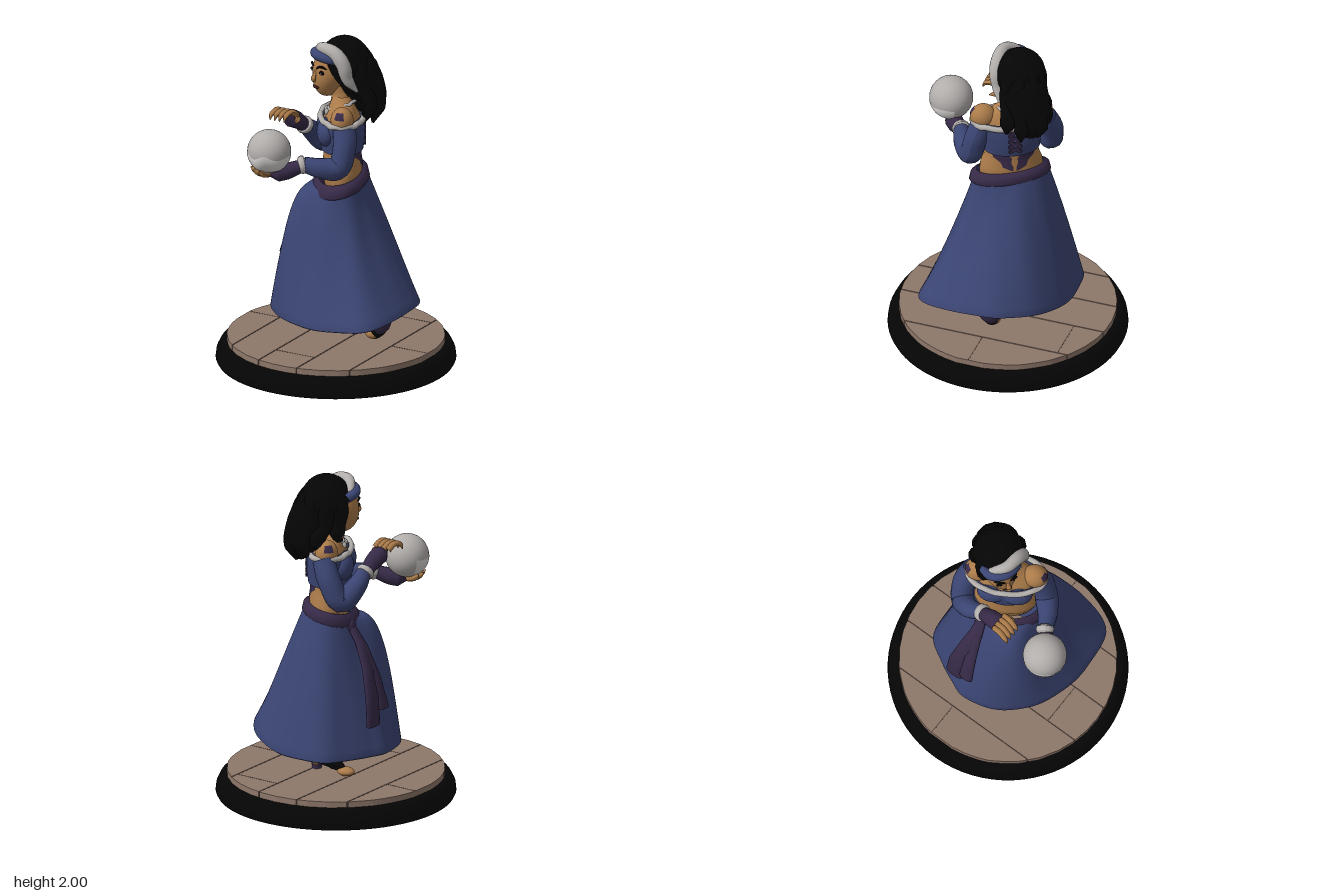
import * as THREE from 'three';

const V = (x, y, z) => new THREE.Vector3(x, y, z);
const mat = (name, color, side = THREE.FrontSide) => {
  const m = new THREE.MeshStandardMaterial({ color, side });
  m.name = name;
  return m;
};

export function createModel() {
  const blue = mat('blue cloth', 0x3b4573, THREE.DoubleSide);
  const purple = mat('purple cloth', 0x372a48, THREE.DoubleSide);
  const skin = mat('skin', 0xac7c4a);
  const silver = mat('silver trim', 0xb2aeac);
  const mist = mat('pale mist', 0xdcdad8);
  const black = mat('black', 0x050505);
  const wood = mat('wood', 0x8e776a);
  const darkWood = mat('dark wood', 0x5c4b42);
  const lipRed = mat('lips', 0x3c1c1a);

  const root = new THREE.Group();
  root.name = 'fortuneTeller';
  const add = (name, geo, m, parent = root) => {
    const mesh = new THREE.Mesh(geo, m);
    mesh.name = name;
    parent.add(mesh);
    return mesh;
  };
  const group = (name, x, y, z, ry) => {
    const g = new THREE.Group();
    g.name = name;
    g.position.set(x, y, z);
    g.rotation.y = ry;
    root.add(g);
    return g;
  };

  // Surface through rings of points, listed from bottom to top
  const loft = (rings, closed = true) => {
    const n = rings[0].length, idx = [];
    for (let j = 0; j < rings.length - 1; j++)
      for (let i = 0; i < (closed ? n : n - 1); i++) {
        const k = (i + 1) % n, a = j * n + i, b = j * n + k;
        idx.push(a, a + n, b, b, a + n, b + n);
      }
    const g = new THREE.BufferGeometry().setFromPoints(rings.flat());
    g.setIndex(idx);
    g.computeVertexNormals();
    return g;
  };
  // Round limb along a path, with radii spread evenly over its length
  const limb = (pts, radii, sides = 14) => {
    const curve = new THREE.CatmullRomCurve3(pts.map(p => V(...p)));
    const seg = 28, g = new THREE.TubeGeometry(curve, seg, 1, sides);
    const pos = g.attributes.position, v = V();
    for (let j = 0; j <= seg; j++) {
      const c = curve.getPointAt(j / seg), f = j / seg * (radii.length - 1);
      const k = Math.min(Math.floor(f), radii.length - 2);
      const r = THREE.MathUtils.lerp(radii[k], radii[k + 1], f - k);
      for (let i = 0; i <= sides; i++) {
        const q = j * (sides + 1) + i;
        v.fromBufferAttribute(pos, q).sub(c).multiplyScalar(r).add(c);
        pos.setXYZ(q, v.x, v.y, v.z);
      }
    }
    g.computeVertexNormals();
    return g;
  };
  const ball = (name, m, p, s, parent = root) => {
    const b = add(name, new THREE.SphereGeometry(1, 28, 20), m, parent);
    b.position.set(...p);
    b.scale.set(...s);
    return b;
  };

  // Base rim with a shallow recess below
  add('baseRim', new THREE.LatheGeometry([[0, .015], [.63, .015], [.65, 0], [.7, 0], [.71, .02], [.705, .06],
    [.685, .1], [.66, .122], [0, .125]].map(p => new THREE.Vector2(...p)), 72), black);
  // Plank floor: strips cut to a circle over a dark disc
  add('floorGaps', new THREE.CylinderGeometry(.635, .635, .03, 64), darkWood).position.y = .137;
  const edges = [-.64, -.43, -.165, .1, .39, .64];
  for (let k = 0; k < 5; k++) {
    const x0 = edges[k] + .003, x1 = edges[k + 1] - .003, pts = [];
    for (const s of [1, -1])
      for (let i = 0; i <= 16; i++) {
        const x = s > 0 ? x1 + (x0 - x1) * i / 16 : x0 + (x1 - x0) * i / 16;
        const R = .644 - .003 * Math.abs(Math.sin(x * 31 + s));
        pts.push(new THREE.Vector2(x, s * Math.sqrt(Math.max(.0004, R * R - x * x))));
      }
    const g = new THREE.ExtrudeGeometry(new THREE.Shape(pts), { depth: .036, bevelEnabled: false });
    add('plank', g.rotateX(-Math.PI / 2), wood).position.y = .122;
  }
  for (const [x, z, w] of [[-.535, -.08, .2], [.515, .02, .24], [-.03, .42, .25], [.24, -.45, .28]])
    add('plankJoint', new THREE.BoxGeometry(w, .003, .006), darkWood).position.set(x, .1575, z);

  // Skirt: from a tilted waist ellipse out to a swept hem, closed underneath
  const C = [.02, -.02];
  const waist = (a, grow = 0) => {
    const r = 1 / Math.hypot(Math.cos(a - 1.047) / .22, Math.sin(a - 1.047) / .148) + grow;
    const x = C[0] + r * Math.cos(a), z = C[1] + r * Math.sin(a);
    return V(x, 1.145 + .17 * x - .18 * z, z);
  };
  const hem = new THREE.CatmullRomCurve3([[.52, 0], [.52, .17], [.43, .4], [.2, .44], [-.02, .415], [-.2, .33], [-.33, .2],
    [-.4, -.03], [-.36, -.14], [-.3, -.27], [-.2, -.4], [0, -.43], [.2, -.4], [.4, -.27], [.5, -.12]]
    .map(p => V(p[0], 0, p[1])), true).getPoints(119).slice(0, 119);
  const skirtRing = (t, inset = 0) => hem.map(h => {
    const a = Math.atan2(h.z - C[1], h.x - C[0]), w = waist(a);
    const right = Math.max(0, Math.cos(a));
    // Bells out over the model's front, sweeps in below the trailing hip
    const power = .9 + .6 * Math.max(0, Math.cos(a - .6)) ** 2 - .55 * Math.max(0, Math.cos(a - 2.36)) ** 4;
    const f = Math.pow(t, power) + .014 * Math.sin(a * 9 + t * 2) * t * (1.3 - t) * 2;
    const y = w.y + (.335 + .07 * right * right - w.y) * t;
    return V(w.x + (h.x - w.x) * f * (1 - inset), y, w.z + (h.z - w.z) * f * (1 - inset));
  });
  const skirtRings = [skirtRing(.93, 1), skirtRing(.95, .14), skirtRing(1.01, .05)];
  for (let j = 24; j >= 0; j--) skirtRings.push(skirtRing((j / 24) ** 1.4));
  add('skirt', loft(skirtRings), blue);

  // Waist sash, knot and hanging tails
  const sashRing = (dy, grow) => Array.from({ length: 48 }, (_, i) => {
    const p = waist(i / 48 * Math.PI * 2, grow);
    p.y += dy;
    return p;
  });
  add('waistSash', loft([sashRing(-.055, .012), sashRing(-.04, .024), sashRing(.005, .014), sashRing(.022, -.02)]), purple);
  ball('sashKnot', purple, [-.15, 1.08, -.07], [.035, .05, .045]);
  const tail = sections => loft(sections.map(([x, y, z, rx, rz]) => Array.from({ length: 16 }, (_, i) => {
    const a = i / 16 * Math.PI * 2;
    return V(x + rx * Math.cos(a), y, z + rz * Math.sin(a));
  })));
  add('sashTail', tail([[-.36, .51, -.12, .002, .03], [-.36, .52, -.12, .022, .06], [-.345, .68, -.11, .022, .06],
    [-.295, .86, -.09, .022, .045], [-.225, 1, -.07, .025, .035], [-.16, 1.09, -.07, .02, .03]]), purple);
  add('sashTailShort', tail([[-.37, .6, -.03, .002, .025], [-.37, .61, -.03, .02, .045], [-.315, .8, -.04, .022, .04],
    [-.235, .98, -.05, .022, .03], [-.16, 1.09, -.07, .02, .03]]), purple);

  // Legs in dark stockings and heeled shoes
  add('rightLeg', limb([[.03, .5, -.1], [.03, .42, -.1], [.04, .28, -.1]], [.06, .055, .04]), black);
  add('rightShoe', limb([[.06, .36, -.1], [.05, .27, -.1], [-.05, .23, -.1], [-.14, .19, -.1]], [.045, .055, .05, .04, .015]), black);
  ball('rightToes', skin, [-.145, .187, -.1], [.055, .026, .045]);
  ball('rightAnkle', skin, [.06, .28, -.12], [.04, .09, .04]);
  add('rightHeel', new THREE.CylinderGeometry(.045, .028, .14, 12), purple).position.set(.085, .226, -.075);
  add('leftLeg', limb([[.24, .52, 0], [.27, .45, 0], [.32, .34, 0]], [.06, .055, .045]), black);
  add('leftShoe', limb([[.31, .42, 0], [.31, .31, 0], [.29, .24, 0], [.25, .2, 0]], [.04, .05, .05, .035]), black);
  const sole = add('leftSole', limb([[0, .2, 0], [0, .1, 0], [-.02, .03, 0], [-.05, -.01, 0]], [.045, .055, .05, .012]), purple);
  sole.position.set(.318, .21, 0);
  sole.scale.z = 1.3;
  ball('leftToes', skin, [.255, .21, 0], [.048, .034, .045]);

  // Torso, turned to the model's right
  const torso = group('torso', .025, 0, -.03, -Math.PI / 3);
  const body = new THREE.CatmullRomCurve3([[.16, 1.05, .09], [.192, 1.18, .12], [.158, 1.3, .11], [.165, 1.4, .12],
    [.185, 1.5, .115], [.175, 1.56, .085], [.085, 1.615, .065], [.05, 1.65, .05]].map(p => V(...p)));
  const bodyAt = (k, a, off = 0) => {
    const p = body.getPoint(k / 7);
    return V((p.x + off) * Math.cos(a), p.y, (p.z + off) * Math.sin(a));
  };
  const bodyPatch = (rows, off, n) => loft(rows.map(([k, a0, a1]) =>
    Array.from({ length: n + 1 }, (_, i) => bodyAt(k, a0 + (a1 - a0) * i / n, off))), false);
  const rows = (k0, k1) => Array.from({ length: 17 }, (_, i) => [k0 + (k1 - k0) * i / 16, 0, Math.PI * 2]);
  add('body', bodyPatch(rows(0, 7), 0, 40), skin, torso);
  add('bodice', bodyPatch(rows(2.25, 4.6), .014, 40), blue, torso);
  for (const s of [1, -1]) {
    ball('bust', blue, [s * .07, 1.445, .085], [.095, .09, .066], torso);
    ball('shoulder', skin, [s * .17, 1.552, 0], [.078, .078, .068], torso);
    const mark = add('shoulderTattoo', new THREE.SphereGeometry(1.03, 8, 6, s > 0 ? 2.4 : -.1, .9, .7, .6), purple, torso);
    mark.position.set(s * .17, 1.552, 0);
    mark.scale.set(.078, .078, .068);
    const b = -Math.PI / 2;
    add('backTattoo', bodyPatch([[1.3, b + s * .05, b + s * .1], [1.5, b + s * .05, b + s * .4],
      [1.75, b + s * .12, b + s * .5], [2, b + s * .1, b + s * .85], [2.3, b + s * .25, b + s * .95]], .004, 6), purple, torso);
    for (let i = 0; i < 4; i++) {
      const lace = add('bodiceLace', new THREE.BoxGeometry(.085, .018, .012), purple, torso);
      lace.position.set(0, 1.38 + i * .04, -.134);
      lace.rotation.z = s * .5;
    }
  }
  // Fur trim and necklace
  const loop = (rx, rz, y, tilt) => new THREE.CatmullRomCurve3(Array.from({ length: 24 }, (_, i) => {
    const a = i / 24 * Math.PI * 2;
    return V(rx * Math.cos(a), y - tilt * Math.sin(a) + .005 * Math.sin(i * 2.5), rz * Math.sin(a));
  }), true);
  add('neckTrim', new THREE.TubeGeometry(loop(.232, .128, 1.525, 0), 72, .018, 8, true), silver, torso);
  add('necklace', new THREE.TubeGeometry(loop(.08, .08, 1.6, .03), 48, .011, 8, true), silver, torso);
  for (let i = -1; i <= 1; i++) ball('pendant', silver, [i * .03, 1.555 - (i ? 0 : .012), .09], [.015, .02, .015], torso);

  // Arms, cuffs and fingerless gloves
  const arm = (side, sleeve, cuff, glove) => {
    add(side + 'Sleeve', limb(sleeve, [.066, .07, .068, .07, .06, .045]), blue);
    add(side + 'Cuff', limb(cuff, [.02, .052, .055, .05, .02]), silver);
    add(side + 'Glove', limb(glove, [.038, .044, .052, .054, .012]), purple);
  };
  arm('left', [[.125, 1.52, .115], [.145, 1.4, .15], [.125, 1.28, .19], [.045, 1.285, .26], [-.04, 1.31, .31]],
    [[-.025, 1.31, .295], [-.075, 1.3, .33]], [[-.04, 1.305, .315], [-.11, 1.275, .36], [-.21, 1.255, .43]]);
  arm('right', [[-.06, 1.52, -.21], [-.12, 1.4, -.23], [-.18, 1.28, -.2], [-.23, 1.36, -.11], [-.225, 1.42, -.03]],
    [[-.225, 1.405, -.045], [-.225, 1.44, .01]], [[-.225, 1.41, -.03], [-.235, 1.475, .06], [-.25, 1.525, .16]]);
  // Fingers: the left hand cups the globe, the right hovers above it
  const globe = [-.205, 1.4, .43];
  const cup = (az, al) => [globe[0] + .142 * Math.sin(al) * Math.cos(az), globe[1] - .142 * Math.cos(al),
    globe[2] + .142 * Math.sin(al) * Math.sin(az)];
  for (let i = 0; i < 5; i++) {
    const az = 1.6 + i * .45;
    add('leftFinger', limb([cup(az, .1), cup(az, .5), cup(az, .8), cup(az, .88)], [.02, .019, .018, .016, .002], 8), skin);
  }
  for (let i = 0; i < 4; i++) {
    const x = -.3 + i * .032;
    add('rightFinger', limb([[x + .01, 1.53, .12], [x - .002, 1.562, .17], [x - .012, 1.545, .22], [x - .014, 1.515, .235]],
      [.018, .018, .017, .015, .003], 8), skin);
  }
  add('rightThumb', limb([[-.21, 1.5, .09], [-.18, 1.51, .14], [-.17, 1.5, .18]], [.018, .018, .016, .003], 8), skin);

  // Crystal globe with pale mist in the lower front
  ball('globe', silver, globe, [.13, .13, .13]);
  const mistGeo = new THREE.SphereGeometry(.1315, 32, 12, -.5, Math.PI + 1, 1.62, .85);
  const mp = mistGeo.attributes.position, v = V();
  for (let i = 0; i < mp.count; i++) {
    v.fromBufferAttribute(mp, i);
    v.y += .014 * Math.sin(v.x * 45);
    v.setLength(.1315);
    mp.setXYZ(i, v.x, v.y, v.z);
  }
  add('globeMist', mistGeo, mist).position.set(...globe);

  // Neck and head, with the face narrowing to the chin
  add('neck', limb([[.025, 1.58, -.035], [.005, 1.66, -.04], [-.015, 1.75, -.04]], [.06, .052, .055]), skin);
  const head = group('head', -.045, 1.79, -.03, -.47);
  const face = new THREE.SphereGeometry(1, 32, 24), fp = face.attributes.position;
  for (let i = 0; i < fp.count; i++) {
    const y = fp.getY(i), n = 1 - .28 * Math.max(0, -y);
    fp.setXYZ(i, fp.getX(i) * .104 * n, y * .15, fp.getZ(i) * .12 + .025 * Math.max(0, -y));
  }
  face.computeVertexNormals();
  add('face', face, skin, head);
  add('nose', limb([[0, .03, .112], [0, -.01, .124], [0, -.03, .13], [0, -.045, .115]], [.008, .011, .017, .007], 8), skin, head);
  ball('lips', lipRed, [0, -.078, .112], [.028, .012, .012], head);
  for (const s of [1, -1]) {
    ball('eyeLiner', black, [s * .043, .018, .103], [.026, .013, .01], head);
    ball('eye', silver, [s * .043, .016, .107], [.016, .006, .008], head);
    ball('pupil', black, [s * .042, .016, .112], [.006, .007, .004], head);
    add('eyebrow', limb([[s * .018, .042, .118], [s * .045, .058, .11], [s * .075, .045, .085]], [.005, .008, .003], 6), black, head);
  }
  add('headband', limb([[-.105, .085, -.01], [-.082, .105, .06], [0, .115, .094], [.082, .105, .06], [.105, .085, -.01]],
    [.026, .031, .033, .031, .026]), blue, head);

  // Hair: silver front streak and black waves falling behind
  add('silverStreak', limb([[-.135, 1.87, -.06], [-.115, 1.925, -.01], [-.06, 1.95, .04], [.02, 1.935, .05],
    [.075, 1.87, .045], [.095, 1.78, .03], [.145, 1.7, 0]], [.01, .024, .034, .04, .044, .042, .032, .008]), silver);
  ball('hairCrown', black, [.012, 1.85, -.08], [.15, .15, .15]);
  add('hairMass', limb([[.03, 1.88, -.09], [.07, 1.75, -.13], [.105, 1.62, -.18], [.13, 1.49, -.19]], [.1, .14, .135, .115, .03]), black);
  const locks = [[.125, -.05, .185, -.07, 1.5], [.145, -.12, .19, -.16, 1.47], [.1, -.19, .14, -.25, 1.49],
    [.03, -.2, .06, -.25, 1.52], [-.05, -.17, -.02, -.22, 1.56], [-.1, -.1, -.095, -.11, 1.62]];
  for (const [x, z, ex, ez, ey] of locks)
    add('hairLock', limb([[x * .7, 1.92, z * .7 - .03], [x, 1.82, z], [x * .95 + .01, 1.72, z], [ex, 1.63, ez], [ex - .02, ey, ez + .02]],
      [.03, .05, .055, .05, .05, .008], 10), black);

  return root;
}
